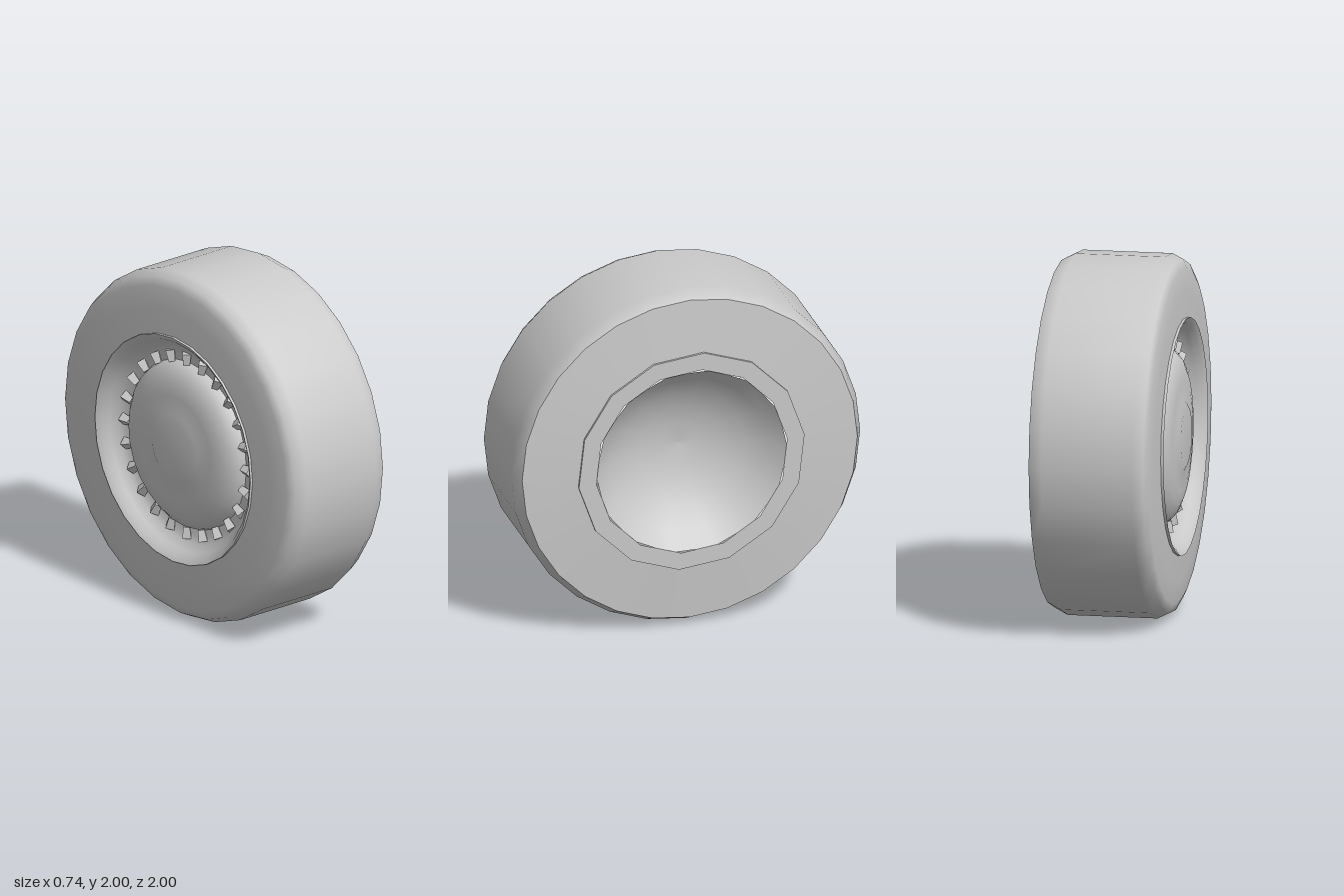
import * as THREE from 'three';

export function createModel() {
  const group = new THREE.Group();
  const grey = new THREE.MeshStandardMaterial({ color: 0xcacaca });
  grey.name = 'plain grey';

  // Surface of revolution about the x axis; profile points are [radius, x], running
  // from the -x side outward, over the tread and inward again on the +x side.
  function turned(name, profile, sides = 28, start = 0) {
    const pts = profile.map(([r, x]) => new THREE.Vector2(r, x));
    const mesh = new THREE.Mesh(new THREE.LatheGeometry(pts, sides, start), grey);
    mesh.rotation.z = -Math.PI / 2;
    mesh.name = name;
    group.add(mesh);
  }

  // Tyre: rounded shoulder on the outer side, chamfer on the inner side
  turned('tyreTread', [
    [0.64, -0.35], [0.8, -0.343], [0.92, -0.333], [0.97, -0.31], [1, -0.25],
    [1, 0.25], [0.96, 0.328],
  ]);
  turned('innerSidewall', [[0.96, 0.328], [0.6, 0.355]]);

  // Outer rim: lip edge and smooth channel
  turned('rimLipEdge', [[0.655, -0.365], [0.655, -0.33]]);
  turned('rimChannel', [
    [0.47, -0.245], [0.52, -0.25], [0.565, -0.27], [0.6, -0.31], [0.625, -0.345], [0.655, -0.365],
  ]);

  // Domed wheel disc with a soft centre cap
  turned('wheelDisc', [
    [0, -0.37], [0.165, -0.369], [0.195, -0.353], [0.3, -0.348], [0.37, -0.338],
    [0.43, -0.315], [0.47, -0.28], [0.485, -0.24],
  ]);

  // Ring of small wedge teeth around the disc
  const tooth = new THREE.CylinderGeometry(0.035, 0.025, 0.065, 4).toNonIndexed();
  tooth.computeVertexNormals();
  for (let i = 0; i < 24; i++) {
    const pivot = new THREE.Group();
    pivot.name = 'discTooth';
    const mesh = new THREE.Mesh(tooth, grey);
    mesh.position.set(-0.262, 0.507, 0);
    pivot.add(mesh);
    pivot.rotation.x = (i / 24) * Math.PI * 2;
    group.add(pivot);
  }

  // Inner side: fourteen-sided flange and a shallow spherical bowl
  const start = Math.PI / 28;
  turned('flangeEdge', [[0.65, 0.335], [0.65, 0.365]], 14, start);
  turned('flangeFace', [[0.65, 0.365], [0.55, 0.365]], 14, start);
  const bowl = [];
  for (let i = 5; i >= 0; i--) {
    const a = (i / 5) * 0.87;
    bowl.push([0.72 * Math.sin(a), 0.365 - 0.72 * (Math.cos(a) - Math.cos(0.87))]);
  }
  turned('innerBowl', bowl, 14, 0);

  for (const child of group.children) child.position.y = 1;
  return group;
}
